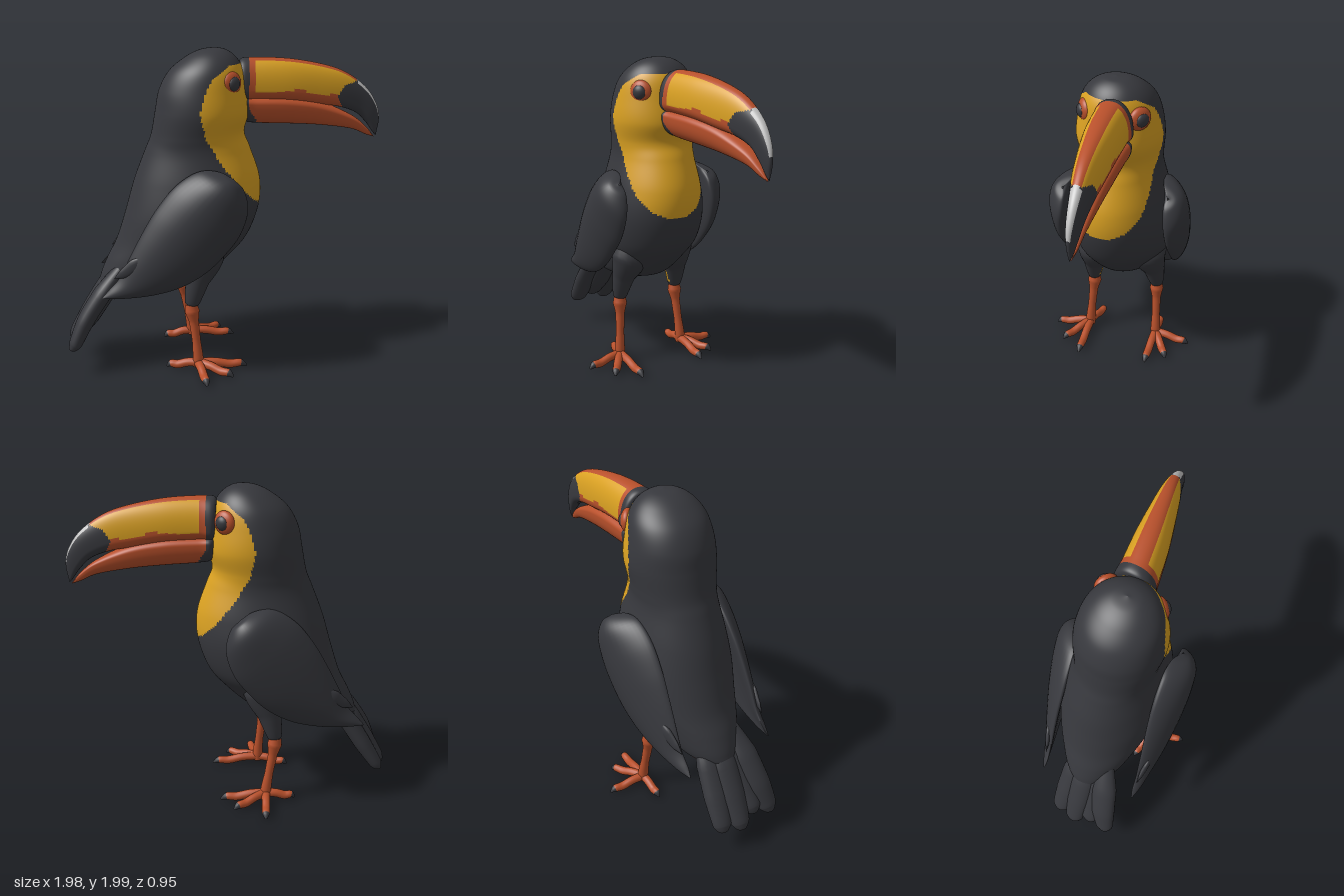
import * as THREE from 'three';

const mat = (name, color) => Object.assign(new THREE.MeshStandardMaterial({ color }), { name });
const DARK = 0, YELLOW = 1, RED = 2, WHITE = 3;
const V = (x, y, z) => new THREE.Vector3(x, y, z);
const spow = (v, p) => Math.sign(v) * Math.abs(v) ** p;

// Piecewise linear lookup in a list of [key, value]
function lerpTable(t, k) {
  if (k <= t[0][0]) return t[0][1];
  for (let i = 1; i < t.length; i++) {
    if (k <= t[i][0]) {
      const f = (k - t[i - 1][0]) / (t[i][0] - t[i - 1][0]);
      return THREE.MathUtils.lerp(t[i - 1][1], t[i][1], f);
    }
  }
  return t[t.length - 1][1];
}

// Closed skin of rings; pick(point, u, cosAngle) chooses a colour for each quad
function loft(point, nu, nv, pick = () => DARK) {
  const pos = [], faces = [[], [], [], []];
  for (let i = 0; i <= nu; i++) {
    for (let j = 0; j < nv; j++) pos.push(...point(i / nu, (j / nv) * Math.PI * 2).toArray());
  }
  const at = (i) => V(pos[3 * i], pos[3 * i + 1], pos[3 * i + 2]);
  let volume = 0;
  for (let i = 0; i < nu; i++) {
    for (let j = 0; j < nv; j++) {
      const k = (j + 1) % nv;
      const a = i * nv + j, b = a + nv, c = (i + 1) * nv + k, d = i * nv + k;
      const mid = at(a).add(at(b)).add(at(c)).add(at(d)).multiplyScalar(0.25);
      faces[pick(mid, (i + 0.5) / nu, Math.cos(((j + 0.5) / nv) * Math.PI * 2))].push([a, b, c], [a, c, d]);
      volume += at(a).dot(at(b).cross(at(c))) + at(a).dot(at(c).cross(at(d)));
    }
  }
  const geo = new THREE.BufferGeometry(), index = [];
  faces.forEach((list, m) => {
    if (!list.length) return;
    geo.addGroup(index.length, list.length * 3, m);
    list.forEach(([a, b, c]) => (volume > 0 ? index.push(a, b, c) : index.push(a, c, b)));
  });
  geo.setAttribute('position', new THREE.Float32BufferAttribute(pos, 3));
  geo.setIndex(index);
  geo.computeVertexNormals();
  return geo;
}

// Rings spanned between two profile lines: [ax, ay, bx, by, halfWidth, centreZ].
// waist sets where between b and a the ring is widest, bow bends its edges inwards.
function profileSkin(stations, { power = 1, waist = 0.5, bow = 0, place = (p) => p } = {}) {
  const a = new THREE.CatmullRomCurve3(stations.map((s) => V(s[0], s[1], s[4])), false, 'catmullrom');
  const b = new THREE.CatmullRomCurve3(stations.map((s) => V(s[2], s[3], s[5])), false, 'catmullrom');
  return (u, v) => {
    const A = a.getPoint(u), B = b.getPoint(u);
    const c = spow(Math.cos(v), power), s = spow(Math.sin(v), power);
    const f = waist + c * (c > 0 ? 1 - waist : waist);
    const bend = bow * A.z * c * c * (c > 0 ? 1 : 0.6);
    return place(V(B.x + (A.x - B.x) * f, B.y + (A.y - B.y) * f, B.z + A.z * s - bend));
  };
}

// Rounded limb through [x, y, z, radius]; flat squeezes it across the wide direction
function limb(points, wide = V(0, 0, 1), flat = 1) {
  const path = new THREE.CatmullRomCurve3(points.map((p) => V(p[0], p[1], p[2])));
  const radii = points.map((p, i) => [i / (points.length - 1), p[3]]);
  return (u, v) => {
    const t = path.getTangent(u), n = t.clone().cross(wide).normalize(), w = n.clone().cross(t);
    const r = lerpTable(radii, u);
    return path.getPoint(u).addScaledVector(n, Math.cos(v) * r * flat).addScaledVector(w, Math.sin(v) * r);
  };
}

export function createModel() {
  const model = new THREE.Group();
  const mats = [mat('dark plumage', 0x37383d), mat('yellow', 0xdaa122), mat('orange red', 0xb8502b), mat('pale tip', 0xc2c2c2)];
  const add = (name, geo, parent = model) => {
    const mesh = new THREE.Mesh(geo, mats);
    mesh.name = name;
    parent.add(mesh);
    return mesh;
  };

  // Head, neck and body, with the bib and the red undertail
  const bib = [[1.06, 0.225], [1.22, 0.08], [1.35, -0.02], [1.5, -0.105], [1.65, -0.135], [1.77, -0.1], [1.84, -0.06], [1.91, 0.04]];
  const body = profileSkin([
    [-0.05, 2.0, -0.05, 2.0, 0.002, 0], [-0.14, 1.985, 0.02, 1.985, 0.09, 0],
    [-0.23, 1.94, 0.08, 1.94, 0.165, 0], [-0.325, 1.86, 0.12, 1.87, 0.22, 0],
    [-0.385, 1.75, 0.14, 1.76, 0.25, 0], [-0.41, 1.63, 0.155, 1.62, 0.265, 0],
    [-0.44, 1.48, 0.13, 1.5, 0.25, 0], [-0.48, 1.38, 0.165, 1.4, 0.25, 0],
    [-0.55, 1.2, 0.225, 1.22, 0.29, 0], [-0.61, 1.0, 0.225, 1.05, 0.32, 0],
    [-0.67, 0.82, 0.165, 0.87, 0.31, 0], [-0.735, 0.69, 0.07, 0.745, 0.27, 0.01],
    [-0.78, 0.58, -0.08, 0.61, 0.22, 0.02], [-0.78, 0.52, -0.22, 0.56, 0.17, 0.03],
    [-0.69, 0.48, -0.38, 0.53, 0.1, 0.03], [-0.54, 0.5, -0.54, 0.5, 0.002, 0.03],
  ]);
  add('body', loft(body, 210, 140, (p) => {
    if (p.y > 1.06 && p.y < 1.91 && p.x > lerpTable(bib, p.y)) return YELLOW;
    return p.y < 0.55 && p.x > -0.72 && p.x < -0.38 ? RED : DARK;
  }));

  // Beak
  const beak = new THREE.Group();
  beak.name = 'beak';
  model.add(beak);
  const tipEdge = [[1.6, 0.76], [1.64, 0.73], [1.7, 0.7], [1.76, 0.75], [1.79, 0.84]];
  const panelEdge = [[0.2, 1.74], [0.3, 1.735], [0.45, 1.75], [0.6, 1.71], [0.7, 1.71]];
  const upper = profileSkin([
    [0.1, 1.85, 0.1, 1.76, 0.04, -0.045], [0.105, 1.925, 0.12, 1.68, 0.12, -0.047],
    [0.2, 1.935, 0.2, 1.68, 0.115, -0.055], [0.4, 1.925, 0.4, 1.67, 0.105, -0.08],
    [0.6, 1.89, 0.58, 1.645, 0.085, -0.108], [0.75, 1.84, 0.72, 1.625, 0.067, -0.13],
    [0.88, 1.75, 0.83, 1.585, 0.047, -0.148], [0.955, 1.65, 0.9, 1.52, 0.033, -0.154],
    [0.982, 1.55, 0.945, 1.46, 0.018, -0.156], [0.968, 1.435, 0.968, 1.435, 0.002, -0.156],
  ], { power: 0.9, waist: 0.28 });
  add('upperBeak', loft(upper, 120, 88, (p, u, c) => {
    if (p.x < 0.155) return DARK;
    if (p.x > 0.83 && c > 0.84 && p.y > 1.56) return WHITE;
    if (p.x > lerpTable(tipEdge, p.y)) return DARK;
    if (c < 0.91 && p.x > 0.19 && p.y > lerpTable(panelEdge, p.x)) return YELLOW;
    return RED;
  }), beak);
  const lower = profileSkin([
    [0.11, 1.66, 0.11, 1.6, 0.04, -0.045], [0.12, 1.71, 0.13, 1.555, 0.115, -0.047],
    [0.2, 1.71, 0.2, 1.54, 0.111, -0.055], [0.4, 1.7, 0.4, 1.53, 0.099, -0.08],
    [0.6, 1.66, 0.6, 1.515, 0.077, -0.108], [0.8, 1.572, 0.8, 1.485, 0.045, -0.137],
    [0.9, 1.495, 0.9, 1.445, 0.024, -0.15], [0.955, 1.43, 0.955, 1.428, 0.003, -0.156],
  ], { power: 0.9, waist: 0.72 });
  add('lowerBeak', loft(lower, 80, 56, (p) => (p.x < 0.155 + Math.max(0, 1.64 - p.y) * 0.6 ? DARK : RED)), beak);

  // Eyes: red ring of skin with a dark pupil
  for (const [x, z, nx, nz] of [[0.045, 0.155, 0.65, 0.76], [0.045, -0.18, 0.6, -0.8]]) {
    const eye = new THREE.Group();
    eye.name = z > 0 ? 'rightEye' : 'leftEye';
    eye.position.set(x, 1.805, z);
    eye.rotation.y = Math.atan2(nx, nz);
    const lid = add('eyeRing', new THREE.SphereGeometry(0.07, 32, 20), eye);
    lid.material = mats[RED];
    lid.scale.z = 0.55;
    const pupil = add('pupil', new THREE.SphereGeometry(0.044, 24, 16), eye);
    pupil.material = mats[DARK];
    pupil.position.z = 0.02;
    pupil.scale.z = 0.7;
    model.add(eye);
  }

  // Folded wings; the left one sits further back and turns inwards
  const wingStations = [
    [0.06, 1.27, 0.07, 1.26, 0.004, 0.31], [-0.03, 1.31, 0.12, 1.2, 0.045, 0.33],
    [-0.15, 1.31, 0.143, 1.08, 0.068, 0.355], [-0.28, 1.23, 0.1, 0.94, 0.07, 0.37],
    [-0.39, 1.1, 0.02, 0.83, 0.064, 0.38], [-0.47, 0.97, -0.1, 0.71, 0.055, 0.385],
    [-0.55, 0.82, -0.25, 0.62, 0.043, 0.385], [-0.62, 0.68, -0.42, 0.57, 0.03, 0.38],
    [-0.69, 0.6, -0.6, 0.55, 0.018, 0.375], [-0.73, 0.555, -0.72, 0.55, 0.003, 0.37],
  ];
  const places = {
    rightWing: (p) => p,
    leftWing: (p) => {
      const dx = p.x - 0.14;
      return V(0.03 + dx * 0.97, p.y, -p.z - 0.045 - dx * 0.21);
    },
  };
  for (const [name, place] of Object.entries(places)) {
    const wing = new THREE.Group();
    wing.name = name;
    model.add(wing);
    add('wingCover', loft(profileSkin(wingStations, { bow: 1.1, place }), 60, 40), wing);
    const quill = limb([[-0.4, 0.84, 0.37, 0.01], [-0.52, 0.765, 0.375, 0.045],
      [-0.6, 0.71, 0.37, 0.028], [-0.65, 0.68, 0.365, 0.002]], V(0.5, 0.85, 0), 0.45);
    add('flightFeather', loft((u, v) => place(quill(u, v)), 20, 16), wing);
  }

  // Overlapping tail feathers fanned towards the right side
  const tail = new THREE.Group();
  tail.name = 'tail';
  model.add(tail);
  for (const [rootZ, tipZ, x, y, lift] of [[-0.03, -0.07, -0.95, 0.16, 0.01], [0.02, 0.045, -0.975, 0.15, -0.015],
    [0.08, 0.15, -0.935, 0.2, 0.01], [0.12, 0.265, -0.945, 0.165, -0.015]]) {
    const z = (f) => rootZ + (tipZ - rootZ) * f;
    add('tailFeather', loft(limb([[-0.6, 0.7, rootZ, 0.05], [-0.735 + lift, 0.51, z(0.4), 0.085], [-0.845 + lift, 0.34, z(0.7), 0.08],
      [x + 0.02, y + 0.035, z(0.96), 0.06], [x, y, tipZ, 0.03], [x, y - 0.003, tipZ, 0.001]], V(0, 0, 1), 0.68), 30, 24), tail);
  }

  // Legs with a yellow inner thigh patch, and spread feet with dark claws
  const sides = [
    ['rightLeg', 1, 0, -0.16, [[0.31, -0.035], [0.22, 0.12], [0.06, 0.235], [-0.2, -0.03]]],
    ['leftLeg', -1, -0.07, -0.215, [[0.29, 0.02], [0.2, 0.14], [0, 0.24], [-0.185, -0.02]]],
  ];
  for (const [name, side, dx, X, toes] of sides) {
    const leg = new THREE.Group();
    leg.name = name;
    model.add(leg);
    const Z = side * 0.235;
    add('thigh', loft(limb([[-0.13 + dx, 0.86, side * 0.15, 0.1], [-0.12 + dx, 0.74, side * 0.17, 0.125],
      [-0.16 + dx, 0.6, side * 0.2, 0.075], [-0.195 + dx, 0.45, side * 0.215, 0.043], [-0.197 + dx, 0.43, side * 0.215, 0.001]]), 32, 24,
    (p) => (p.y > 0.47 && p.y < 0.58 && p.x < dx - 0.165 && Math.abs(p.z) < 0.205 ? YELLOW : DARK)), leg);
    add('shank', loft(limb([[-0.2 + dx, 0.45, side * 0.215, 0.036], [-0.195 + dx, 0.4, side * 0.216, 0.046],
      [-0.185 + dx, 0.33, side * 0.22, 0.03], [-0.17 + dx * 0.9, 0.2, side * 0.228, 0.027],
      [X, 0.08, Z, 0.034], [X, 0.03, Z, 0.03], [X, 0.02, Z, 0.001]]), 30, 20, () => RED), leg);
    for (const [tx, tz] of toes) {
      const toe = limb([[X, 0.055, Z, 0.028], [X + tx * 0.35, 0.05, Z + side * tz * 0.35, 0.027],
        [X + tx * 0.65, 0.032, Z + side * tz * 0.65, 0.027], [X + tx * 0.87, 0.034, Z + side * tz * 0.87, 0.024],
        [X + tx, 0.014, Z + side * tz, 0.006]], V(-tz * side, 0, tx).normalize());
      add('toe', loft(toe, 20, 14, (p, u) => (u > 0.74 ? DARK : RED)), leg);
    }
  }
  return model;
}
